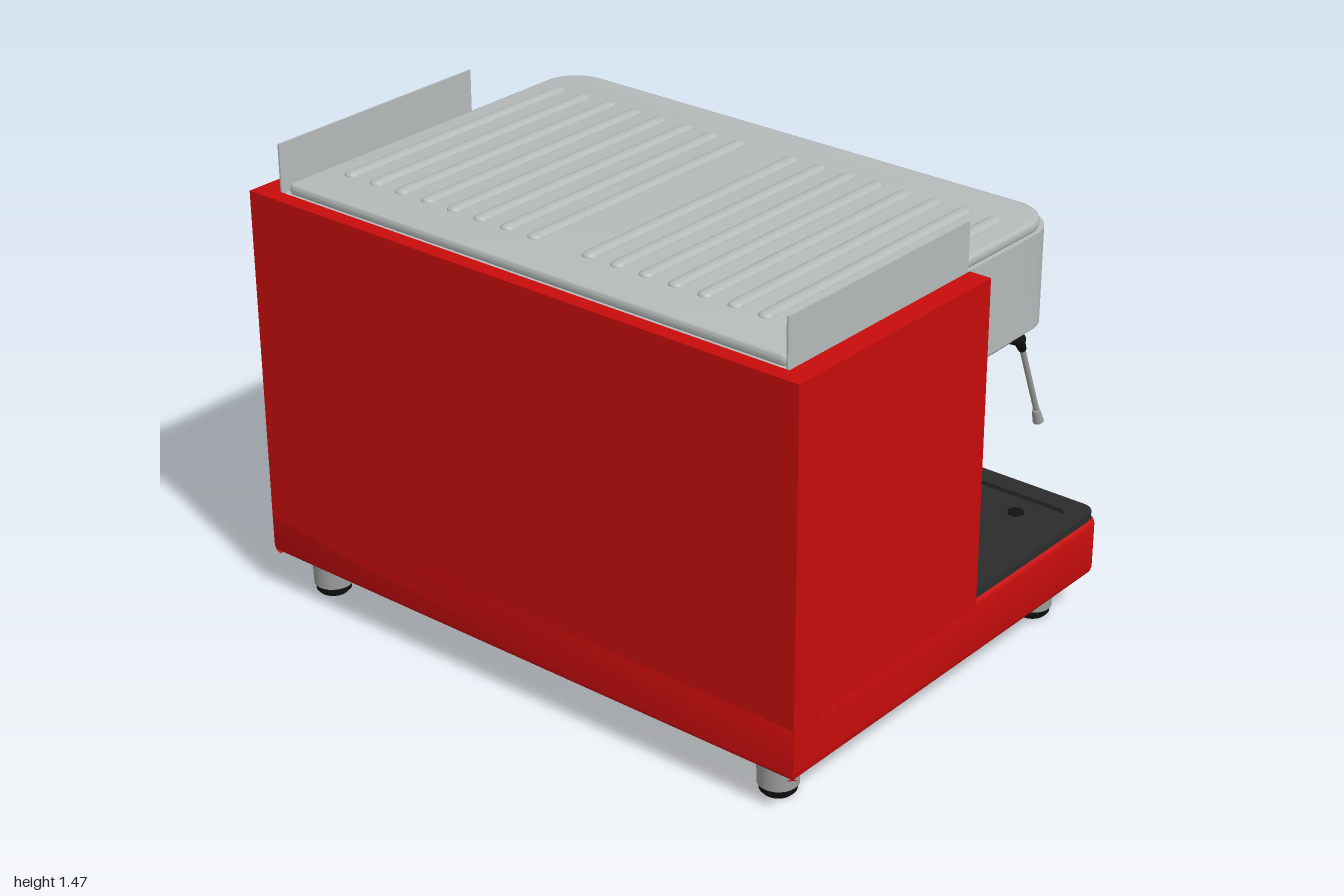
import * as THREE from 'three';
import { toCreasedNormals } from 'three/addons/utils/BufferGeometryUtils.js';
import { RoundedBoxGeometry } from 'three/addons/geometries/RoundedBoxGeometry.js';

const makeMaterial = (name, color) => {
  const m = new THREE.MeshStandardMaterial({ color });
  m.name = name;
  return m;
};

// Plan outline in x and z, with separate front (+x) and back corner radii
function outline(x0, x1, hz, front, back = 0.002, S = THREE.Shape) {
  const s = new S();
  s.moveTo(x0 + back, -hz);
  s.lineTo(x1 - front, -hz);
  s.absarc(x1 - front, -hz + front, front, -Math.PI / 2, 0);
  s.lineTo(x1, hz - front);
  s.absarc(x1 - front, hz - front, front, 0, Math.PI / 2);
  s.lineTo(x0 + back, hz);
  s.absarc(x0 + back, hz - back, back, Math.PI / 2, Math.PI);
  s.lineTo(x0, -hz + back);
  s.absarc(x0 + back, -hz + back, back, Math.PI, Math.PI * 1.5);
  return s;
}

// Upright slab of a plan outline between two heights
function slab(shape, y0, y1, bevel = 0) {
  const g = new THREE.ExtrudeGeometry(shape, {
    depth: y1 - y0 - 2 * bevel, curveSegments: 10, bevelEnabled: bevel > 0,
    bevelSize: bevel, bevelOffset: -bevel, bevelThickness: bevel, bevelSegments: 3,
  });
  g.rotateX(-Math.PI / 2).translate(0, y0 + bevel, 0);
  return toCreasedNormals(g, 0.6);
}

export function createModel() {
  const red = makeMaterial('red enamel', 0xc80c0c);
  const steel = makeMaterial('light steel', 0xb6baba);
  const chrome = makeMaterial('grey metal', 0x9c9e9e);
  const dark = makeMaterial('dark grey plastic', 0x2b2c2c);
  const black = makeMaterial('black rubber', 0x121212);
  const white = makeMaterial('white lamp', 0xe6e6e6);

  const model = new THREE.Group();
  const add = (name, geometry, material, x = 0, y = 0, z = 0, parent = model) => {
    const mesh = new THREE.Mesh(geometry, material);
    mesh.name = name;
    mesh.position.set(x, y, z);
    parent.add(mesh);
    return mesh;
  };
  const box = (w, h, d) => new THREE.BoxGeometry(w, h, d);
  const rod = (r0, r1, h, n = 24) => new THREE.CylinderGeometry(r0, r1, h, n);
  const rodX = (r0, r1, h, n = 24) => rod(r0, r1, h, n).rotateZ(-Math.PI / 2);
  const lathe = (points, n = 32) => toCreasedNormals(
    new THREE.LatheGeometry(points.map(p => new THREE.Vector2(...p)), n), 0.7);

  // Red base and the casing that wraps the back and sides
  add('base', slab(outline(-0.84, 0.66, 1, 0.05), 0.13, 0.318, 0.022), red);
  const casing = new THREE.Shape();
  [[-0.84, -1], [0.005, -1], [0.005, -0.93], [-0.79, -0.93], [-0.79, 0.93],
    [0.005, 0.93], [0.005, 1], [-0.84, 1]].forEach(([x, z], i) =>
    i ? casing.lineTo(x, z) : casing.moveTo(x, z));
  add('casing', slab(casing, 0.16, 1.32), red);

  // Feet
  for (const x of [-0.73, 0.513]) for (const z of [-0.865, 0.865]) {
    add('foot', rod(0.062, 0.06, 0.1), chrome, x, 0.08, z);
    add('footPad', lathe([[0, 0], [0.045, 0], [0.054, 0.01], [0.056, 0.03], [0, 0.03]]), black, x, 0, z);
  }

  // Drip tray with raised rim
  const rim = outline(0.005, 0.655, 0.99, 0.05);
  rim.holes.push(outline(0.03, 0.585, 0.93, 0.03, 0.03, THREE.Path));
  add('trayRim', slab(rim, 0.3, 0.337), dark);
  add('trayFloor', box(0.57, 0.01, 1.88), dark, 0.31, 0.318, 0);
  for (const z of [-0.8, 0.8]) add('trayScrew', rod(0.025, 0.025, 0.006), black, 0.5, 0.325, z);

  // Body core, splash plate and round cover
  add('bodyCore', box(0.79, 0.74, 1.858), steel, -0.395, 0.67, 0);
  add('splashPlate', box(0.055, 0.675, 1.495), steel, 0.0275, 0.6825, 0);
  add('roundCover', new THREE.TorusGeometry(0.078, 0.003, 6, 40).rotateY(Math.PI / 2), chrome, 0.001, 0.48, 0.835);

  // Hood and lid
  add('hood', slab(outline(-0.785, 0.472, 0.922, 0.13), 1.02, 1.315), steel);
  add('lid', slab(outline(-0.775, 0.457, 0.91, 0.12, 0.02), 1.31, 1.345, 0.012), steel);

  // Lid louvres in two banks of eight
  const ridge = new THREE.CapsuleGeometry(0.024, 0.892, 6, 14).rotateZ(Math.PI / 2).scale(1, 0.5, 1);
  for (const side of [-1, 1]) for (let i = 0; i < 8; i++) {
    add('louvre', ridge, steel, -0.16, 1.344, side * (0.1 + i * 0.102));
  }

  // Cup rail: back sheet faces inwards
  add('railBack', new THREE.PlaneGeometry(1.85, 0.155).rotateY(Math.PI / 2), steel, -0.787, 1.39, 0);
  for (const z of [-0.922, 0.922]) add('railSide', box(0.795, 0.155, 0.006), steel, -0.392, 1.39, z);

  // Control panel, lamps and knobs
  add('controlPanel', new RoundedBoxGeometry(0.03, 0.13, 1.1, 3, 0.014), dark, 0.475, 1.165, 0);
  for (const z of [0.47, 0.3, 0.005, -0.345]) {
    add('button', rodX(0.018, 0.018, 0.012, 16), z < -0.3 ? white : black, 0.491, 1.17, z);
  }
  const lobes = new THREE.Shape();
  for (let i = 0; i <= 48; i++) {
    const a = i / 48 * Math.PI * 2, r = 0.054 + 0.008 * Math.cos(4 * a);
    lobes[i ? 'lineTo' : 'moveTo'](r * Math.cos(a), r * Math.sin(a));
  }
  const knobGeometry = toCreasedNormals(new THREE.ExtrudeGeometry(lobes, {
    depth: 0.045, bevelSize: 0.006, bevelOffset: -0.006, bevelThickness: 0.006, bevelSegments: 2,
  }), 0.6).rotateY(Math.PI / 2);
  for (const z of [-0.67, 0.67]) {
    add('knobCollar', rodX(0.045, 0.045, 0.03), black, 0.478, 1.155, z);
    add('knob', knobGeometry, black, 0.488, 1.155, z);
  }

  // Gauge and power switch
  add('gaugeHousing', new RoundedBoxGeometry(0.035, 0.14, 0.14, 3, 0.015), black, 0.015, 0.885, 0.835);
  add('gaugeFace', rodX(0.05, 0.045, 0.01), dark, 0.034, 0.885, 0.835);
  add('switchFrame', box(0.01, 0.075, 0.07), black, 0.004, 0.74, 0.85);
  add('switch', box(0.012, 0.05, 0.045), red, 0.008, 0.74, 0.85);

  // Group head block with angled front corners
  const block = new THREE.Shape();
  [[0.04, -0.52], [0.3, -0.52], [0.415, -0.42], [0.415, 0.42], [0.3, 0.52], [0.04, 0.52]]
    .forEach(([x, z], i) => i ? block.lineTo(x, z) : block.moveTo(x, z));
  add('groupBlock', slab(block, 0.875, 1.03), steel);
  add('waterSpout', rod(0.025, 0.025, 0.15), chrome, 0.26, 0.805, 0);

  // Brewing groups with filter holders
  const bell = lathe([[0, 0.6], [0.037, 0.6], [0.044, 0.61], [0.044, 0.69], [0.085, 0.695], [0.1, 0.715],
    [0.115, 0.755], [0.13, 0.775], [0.134, 0.785], [0.14, 0.8], [0.14, 0.825], [0.13, 0.85], [0.12, 0.88], [0, 0.88]]);
  const grip = lathe([[0, 0], [0.026, 0], [0.03, 0.02], [0.028, 0.05], [0.034, 0.14], [0.039, 0.27],
    [0.04, 0.36], [0.034, 0.385], [0, 0.39]], 20).rotateZ(-Math.PI / 2);
  for (const z of [-0.338, 0.338]) {
    const group = new THREE.Group();
    group.name = 'brewGroup';
    group.position.set(0.24, 0, z);
    model.add(group);
    add('groupBell', bell, chrome, 0, 0, 0, group);
    add('handleStem', rodX(0.022, 0.018, 0.13), chrome, 0.15, 0.723, 0, group);
    add('handleGrip', grip, black, 0.2, 0.724, 0, group);
    // One double and one single pouring spout
    const ends = z < 0 ? [[0.06, -0.065], [0.06, 0.065]] : [[0.065, 0]];
    for (const [x, dz] of ends) {
      const path = new THREE.CatmullRomCurve3([
        new THREE.Vector3(0.02, 0.63, 0), new THREE.Vector3(0.055, 0.617, dz * 0.5),
        new THREE.Vector3(x, 0.6, dz * 0.85), new THREE.Vector3(x, 0.572, dz)]);
      add('pourSpout', new THREE.TubeGeometry(path, 12, 0.016, 10), chrome, 0, 0, 0, group);
    }
  }

  // Steam wand
  const v = (x, y) => new THREE.Vector3(x, y, 0.82);
  const pipe = new THREE.CatmullRomCurve3([v(0.163, 1.03), v(0.163, 0.975), v(0.175, 0.95), v(0.21, 0.943), v(0.4, 0.943)]);
  add('steamPipe', new THREE.TubeGeometry(pipe, 28, 0.011, 10), chrome);
  const strut = (name, a, b, r0, r1, material) => {
    const d = b.clone().sub(a);
    const m = add(name, rod(r1, r0, d.length(), 12), material);
    m.position.copy(a).addScaledVector(d, 0.5);
    m.quaternion.setFromUnitVectors(new THREE.Vector3(0, 1, 0), d.normalize());
  };
  strut('wandJoint', v(0.39, 0.945), v(0.445, 0.922), 0.016, 0.02, black);
  strut('wandGrip', v(0.435, 0.93), v(0.46, 0.885), 0.019, 0.012, black);
  strut('wandTube', v(0.45, 0.91), v(0.56, 0.635), 0.009, 0.009, chrome);
  strut('wandTip', v(0.55, 0.655), v(0.566, 0.612), 0.012, 0.017, chrome);

  return model;
}
